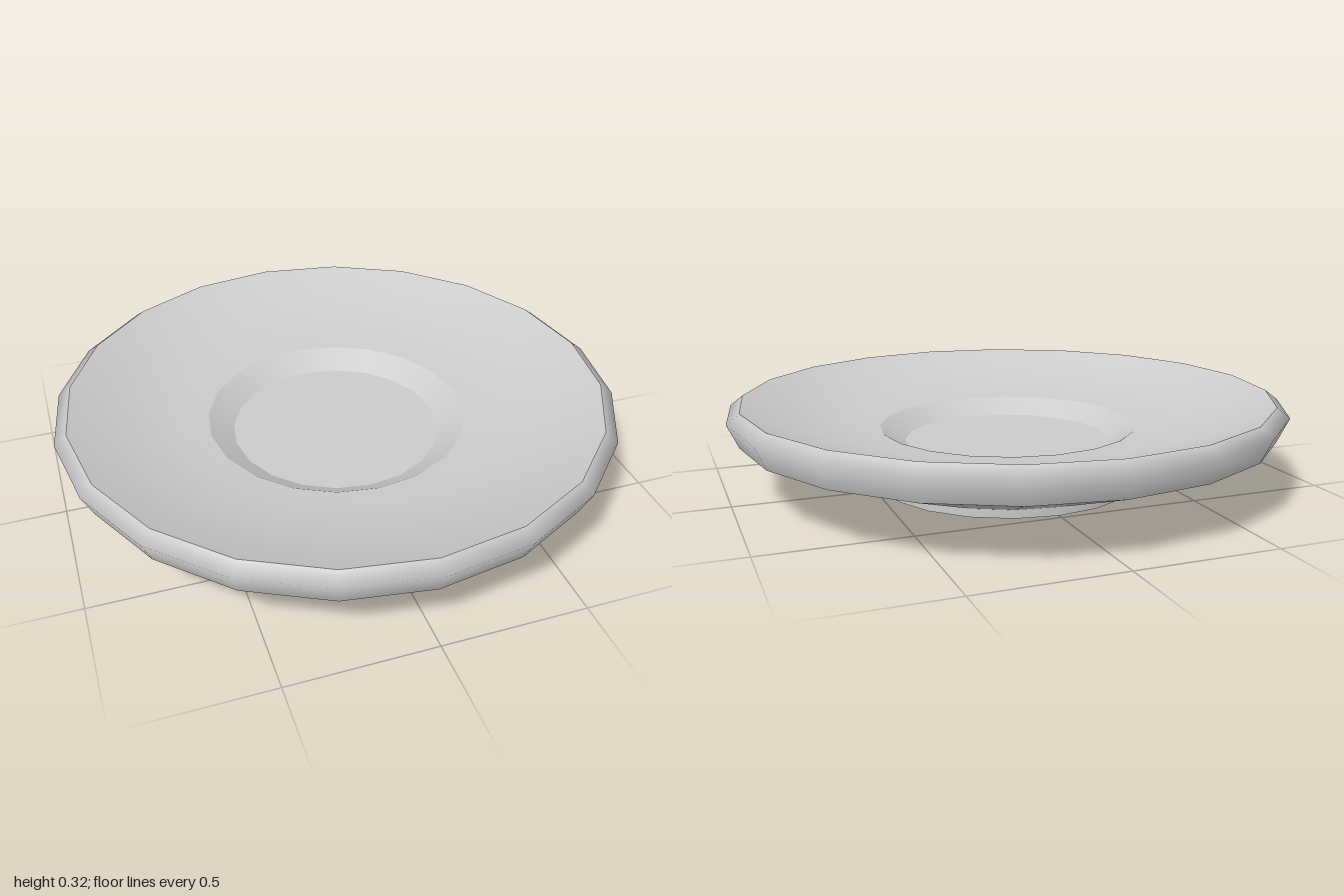
import * as THREE from 'three';

const SIDES = 20;
const material = new THREE.MeshStandardMaterial({ color: 0xcccccc });

// Each band is its own lathe, so shading is smooth within it and sharp at its edges.
// Profiles run from the underside centre outward, up over the rim and back to the well.
const bands = {
  footRecess: [[0, 0.02], [0.42, 0.02]],
  footInnerWall: [[0.42, 0.02], [0.42, 0]],
  footBase: [[0.42, 0], [0.48, 0]],
  footOuterWall: [[0.48, 0], [0.48, 0.03]],
  underside: [[0.48, 0.03], [0.96, 0.2]],
  rim: [[0.96, 0.2], [1, 0.285], [0.955, 0.32]],
  // Dished: steeper under the rim, nearly level beside the well
  upperSurface: [[0.955, 0.32], [0.83, 0.27], [0.7, 0.235], [0.58, 0.214], [0.465, 0.205]],
  wellWall: [[0.465, 0.205], [0.375, 0.15]],
  wellFloor: [[0.375, 0.15], [0, 0.15]],
};

export function createModel() {
  const saucer = new THREE.Group();
  saucer.name = 'saucer';
  for (const [name, profile] of Object.entries(bands)) {
    const points = profile.map(([r, y]) => new THREE.Vector2(r, y));
    const mesh = new THREE.Mesh(new THREE.LatheGeometry(points, SIDES), material);
    mesh.name = name;
    saucer.add(mesh);
  }
  return saucer;
}
